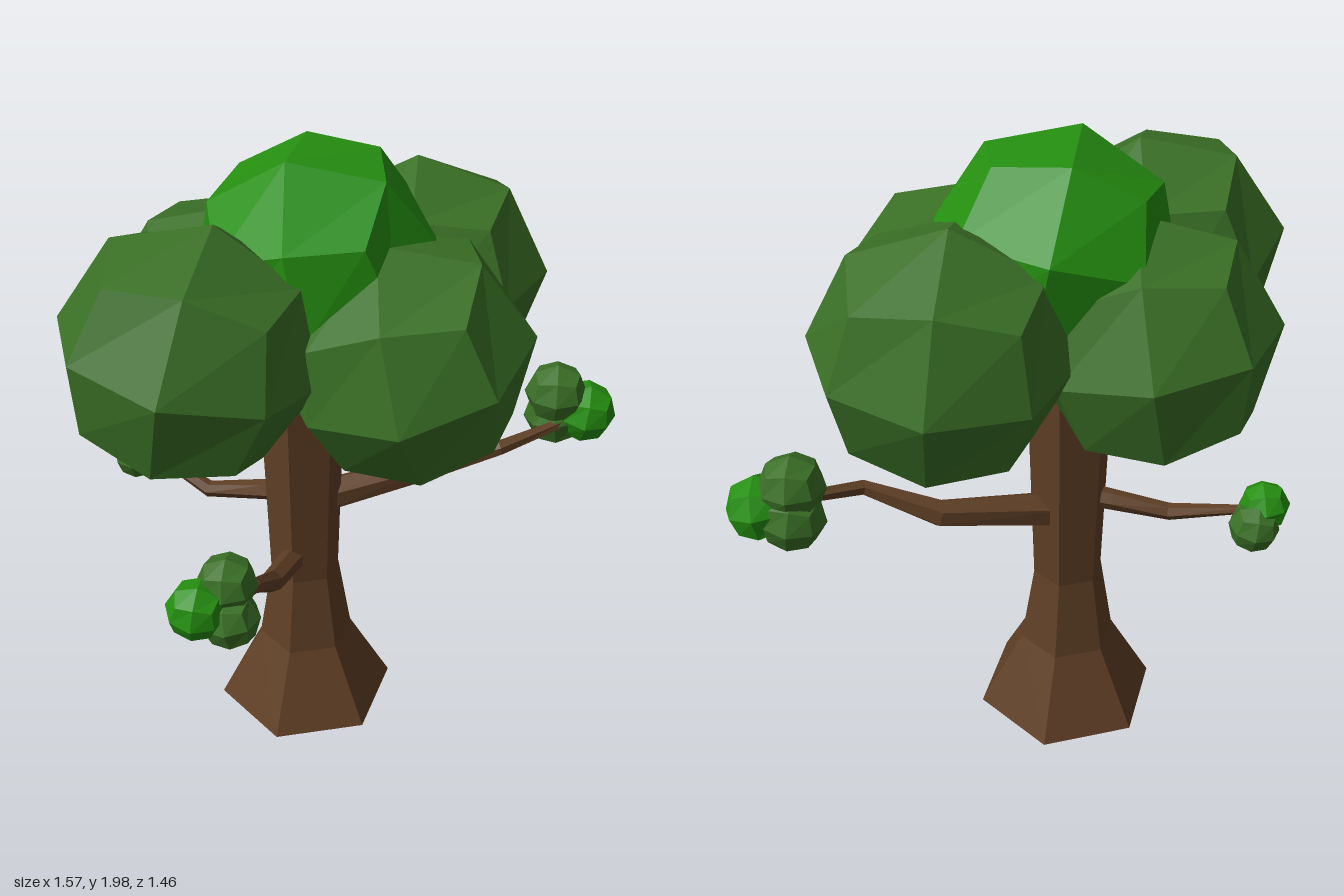
import * as THREE from 'three';

const mat = (name, color) => {
  const m = new THREE.MeshStandardMaterial({ color, flatShading: true });
  m.name = name;
  return m;
};

// Cube with 2x2 faces per side, pushed out to a sphere
function blobGeometry() {
  const geo = new THREE.BoxGeometry(1, 1, 1, 2, 2, 2);
  const pos = geo.attributes.position;
  const v = new THREE.Vector3();
  for (let i = 0; i < pos.count; i++) {
    v.fromBufferAttribute(pos, i).normalize();
    pos.setXYZ(i, v.x, v.y, v.z);
  }
  geo.computeVertexNormals();
  return geo;
}

// Tapered six-sided limb through nodes [x, y, z, radius]
function limbGeometry(nodes, sides = 6) {
  const pts = nodes.map((n) => new THREE.Vector3(n[0], n[1], n[2]));
  const up = new THREE.Vector3(0, 1, 0);
  const verts = [];
  const index = [];
  pts.forEach((p, i) => {
    const dir = pts[Math.min(i + 1, pts.length - 1)].clone().sub(pts[Math.max(i - 1, 0)]).normalize();
    const q = new THREE.Quaternion().setFromUnitVectors(up, dir);
    for (let s = 0; s < sides; s++) {
      const a = (s / sides) * Math.PI * 2;
      const r = nodes[i][3];
      const v = new THREE.Vector3(Math.sin(a) * r, 0, Math.cos(a) * r).applyQuaternion(q).add(p);
      verts.push(v.x, v.y, v.z);
    }
  });
  const last = (pts.length - 1) * sides;
  for (let s = 0; s < sides; s++) {
    const t = (s + 1) % sides;
    for (let o = 0; o < last; o += sides) {
      index.push(o + s, o + t, o + sides + s, o + t, o + sides + t, o + sides + s);
    }
    // End caps
    if (s > 0 && s < sides - 1) index.push(0, t, s, last, last + s, last + t);
  }
  const geo = new THREE.BufferGeometry();
  geo.setAttribute('position', new THREE.Float32BufferAttribute(verts, 3));
  geo.setIndex(index);
  geo.computeVertexNormals();
  return geo;
}

export function createModel() {
  const tree = new THREE.Group();
  tree.name = 'tree';
  const bark = mat('bark brown', 0x5f3f25);
  const leaf = mat('dark leaf green', 0x3a7026);
  const fresh = mat('bright leaf green', 0x258f10);

  const add = (parent, name, geo, material) => {
    const mesh = new THREE.Mesh(geo, material);
    mesh.name = name;
    parent.add(mesh);
    return mesh;
  };
  const sphere = blobGeometry();
  const blob = (parent, name, material, [x, y, z], r, [rx, ry, rz]) => {
    const mesh = add(parent, name, sphere, material);
    mesh.position.set(x, y, z);
    mesh.scale.setScalar(r);
    mesh.rotation.set(rx, ry, rz);
  };

  // Trunk with flared foot
  const profile = [[0, 0], [0.295, 0], [0.155, 0.26], [0.112, 0.53], [0.133, 1.25], [0.135, 1.45], [0, 1.45]];
  const trunk = add(tree, 'trunk',
    new THREE.LatheGeometry(profile.map(([r, y]) => new THREE.Vector2(r, y)), 6), bark);
  trunk.position.set(-0.105, 0, -0.025);

  // Crown
  const crown = new THREE.Group();
  crown.name = 'crown';
  tree.add(crown);
  blob(crown, 'frontFoliage', leaf, [-0.29, 1.51, 0.355], 0.372, [-0.1, 0.2, -0.19]);
  blob(crown, 'rightFoliage', leaf, [-0.345, 1.415, -0.045], 0.372, [0.1, 0.2, -0.18]);
  blob(crown, 'leftFoliage', leaf, [0.235, 1.425, 0.04], 0.372, [0.14, 0.24, 0.2]);
  blob(crown, 'backFoliage', leaf, [0.17, 1.48, -0.365], 0.372, [-0.06, 0.19, 0.1]);
  blob(crown, 'topFoliage', fresh, [-0.055, 1.645, -0.03], 0.358, [0.33, 0.2, 0.13]);

  // Branches, each ending in a tuft of three small blobs (the first is bright)
  const branches = [
    {
      name: 'leftBranch', r: 0.101,
      path: [[-0.08, 0.78, -0.06, 0.058], [0.24, 0.845, -0.26, 0.045], [0.46, 0.935, -0.31, 0.025], [0.63, 0.97, -0.47, 0.018]],
      tuft: [[0.685, 0.985, -0.54], [0.59, 1.055, -0.51], [0.59, 0.96, -0.53]],
    },
    {
      name: 'rightBranch', r: 0.077,
      path: [[-0.12, 0.825, -0.02, 0.037], [-0.24, 0.81, -0.01, 0.033], [-0.42, 0.783, 0.01, 0.027], [-0.65, 0.865, -0.03, 0.014]],
      tuft: [[-0.71, 0.905, -0.05], [-0.69, 0.835, -0.025], [-0.69, 0.86, -0.1]],
    },
    {
      name: 'frontBranch', r: 0.09,
      path: [[-0.11, 0.615, 0.04, 0.04], [-0.11, 0.665, 0.25, 0.036], [-0.11, 0.76, 0.39, 0.024], [-0.11, 0.81, 0.53, 0.015]],
      tuft: [[-0.18, 0.855, 0.645], [-0.12, 0.9, 0.56], [-0.1, 0.805, 0.595]],
    },
  ];
  branches.forEach(({ name, r, path, tuft }) => {
    const group = new THREE.Group();
    group.name = name;
    tree.add(group);
    add(group, name + 'Limb', limbGeometry(path), bark);
    tuft.forEach((p, i) =>
      blob(group, name + 'Tuft' + (i + 1), i ? leaf : fresh, p, r, [0.15 - 0.1 * i, 0.2, 0.15 * i - 0.15]));
  });
  return tree;
}
